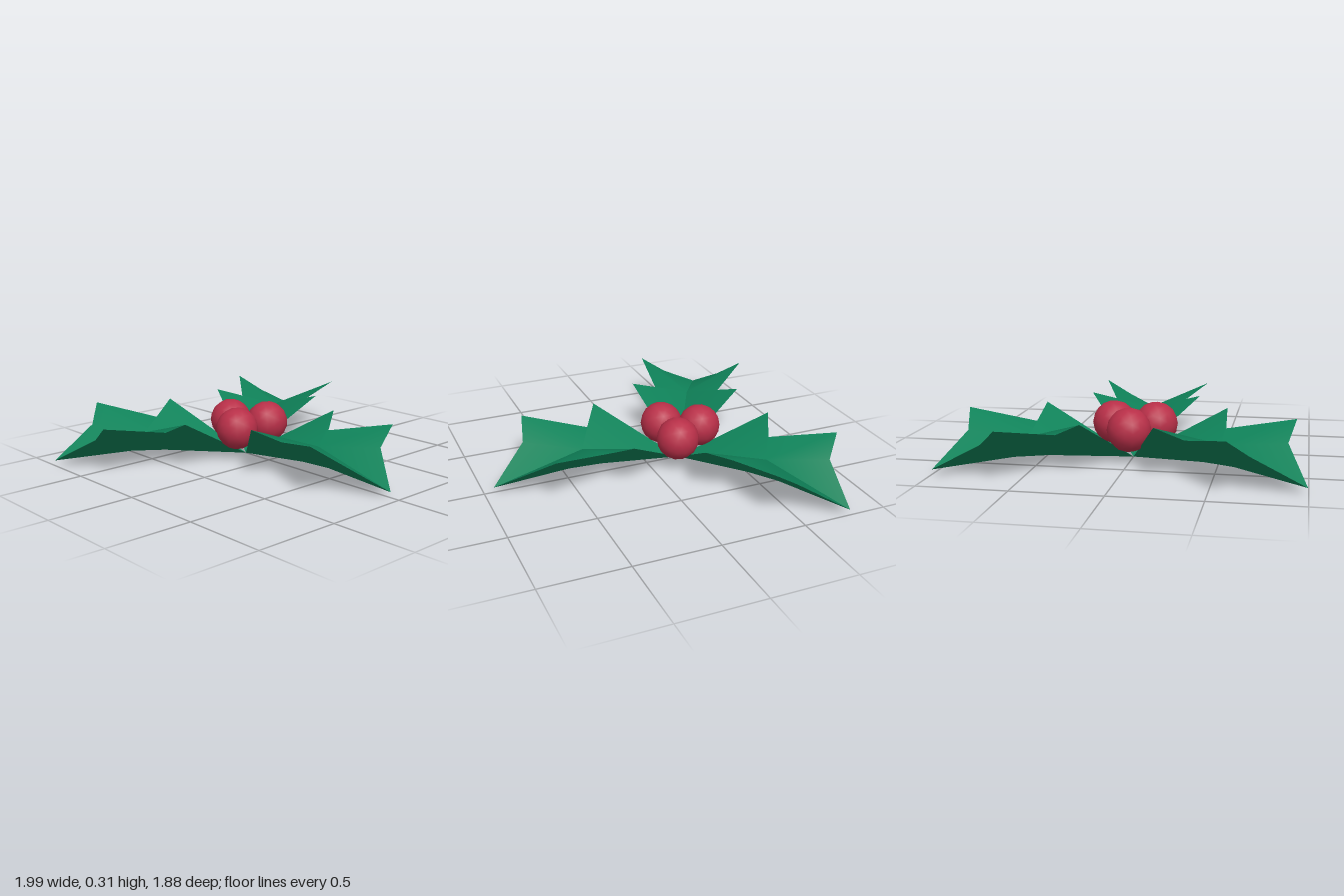
import * as THREE from 'three';

// Leaf margin of one half, from base to tip: [half width, height, distance]
const margin = [
  [0, 0, 0], [0.335, 0.29, 0.42], [0.19, 0.21, 0.515],
  [0.335, 0.29, 0.877], [0.185, 0.19, 0.917], [0, 0.03, 1.15],
];
const upperRib = [0, 0.17, 0.615];
const lowerRibs = [[0, 0.053, 0.5], [0, 0.06, 0.7]];

// One smooth patch of a leaf half; side mirrors it across the midrib
function patch(points, triangles, side) {
  const geometry = new THREE.BufferGeometry();
  const position = points.flatMap(([x, y, z]) => [x * side, y, z]);
  geometry.setAttribute('position', new THREE.Float32BufferAttribute(position, 3));
  geometry.setIndex(triangles.flatMap(([a, b, c]) => (side > 0 ? [a, b, c] : [a, c, b])));
  geometry.computeVertexNormals();
  return geometry;
}

export function createModel() {
  const group = new THREE.Group();
  const green = new THREE.MeshStandardMaterial({ name: 'leafGreen', color: 0x0f8259 });
  const red = new THREE.MeshStandardMaterial({ name: 'berryRed', color: 0xb82f48 });

  // Upper face fans around the raised rib, lower face around the keel
  const upperTriangles = [0, 1, 2, 3, 4].map((i) => [6, i + 1, i]);
  const lowerTriangles = [[6, 0, 1], [6, 1, 2], [6, 2, 7], [7, 2, 3], [7, 3, 4], [7, 4, 5]];

  // Three leaves spread evenly around the stem point
  for (let i = 0; i < 3; i++) {
    const leaf = new THREE.Group();
    leaf.name = 'leaf' + (i + 1);
    for (const side of [1, -1]) {
      const top = new THREE.Mesh(patch([...margin, upperRib], upperTriangles, side), green);
      top.name = 'leafTop';
      const underside = new THREE.Mesh(patch([...margin, ...lowerRibs], lowerTriangles, side), green);
      underside.name = 'leafUnderside';
      leaf.add(top, underside);
    }
    leaf.position.z = -0.207;
    leaf.rotation.y = (i * Math.PI * 2) / 3;
    group.add(leaf);
  }

  // Cluster of three berries
  const berryGeometry = new THREE.IcosahedronGeometry(0.126, 2);
  [[-0.122, -0.148], [0.122, -0.148], [0, -0.345]].forEach(([x, z], i) => {
    const berry = new THREE.Mesh(berryGeometry, red);
    berry.name = 'berry' + (i + 1);
    berry.position.set(x, 0.19, z);
    group.add(berry);
  });

  return group;
}
